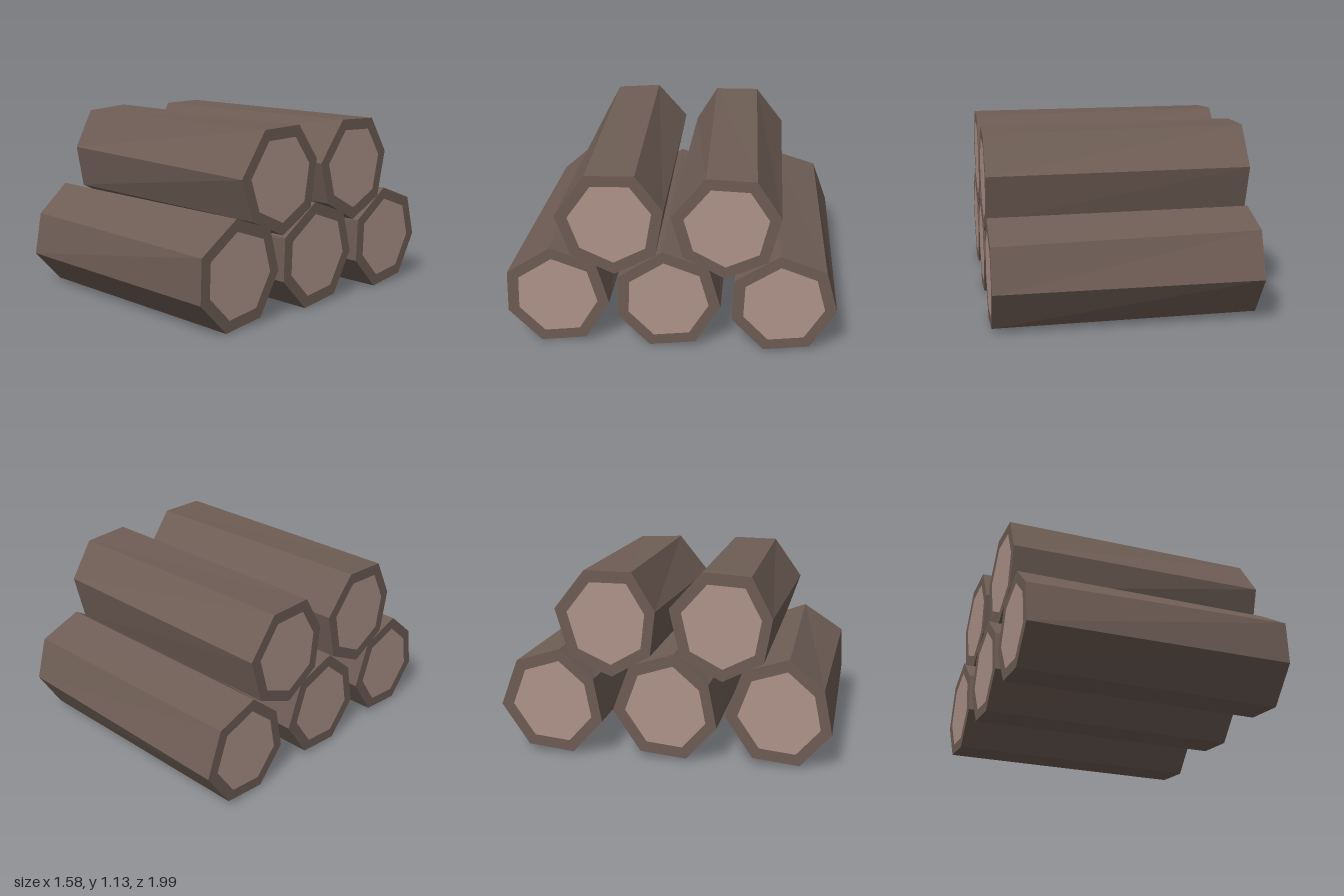
import * as THREE from 'three';

// Seven-sided log cross-sections as [z, y] around the log's axis, at the +x and -x ends
const NEAR = [[0.03, 0.325], [0.295, 0.15], [0.305, -0.113], [0.11, -0.314], [-0.165, -0.28], [-0.315, -0.03], [-0.242, 0.227]];
const FAR = [[0.04, 0.33], [0.24, 0.155], [0.29, -0.105], [0.11, -0.304], [-0.165, -0.272], [-0.33, -0.027], [-0.228, 0.247]];
const HALF = 0.79;
const CORE = 0.775; // size of the cut wood face relative to the bark

const ring = (section, x, scale) => section.map(([z, y]) => [x, y * scale, z * scale]);

// Flat-shaded geometry from a list of quads and triangles
function facesToGeometry(faces) {
  const positions = [];
  for (const f of faces) {
    for (let i = 1; i < f.length - 1; i++) positions.push(...f[0], ...f[i], ...f[i + 1]);
  }
  const geometry = new THREE.BufferGeometry();
  geometry.setAttribute('position', new THREE.Float32BufferAttribute(positions, 3));
  geometry.computeVertexNormals();
  return geometry;
}

function createModel() {
  const model = new THREE.Group();
  model.name = 'logPile';
  const barkMaterial = new THREE.MeshStandardMaterial({ color: 0x6e5d55, flatShading: true });
  const woodMaterial = new THREE.MeshStandardMaterial({ color: 0xaf948a, flatShading: true });

  const near = ring(NEAR, HALF, 1);
  const far = ring(FAR, -HALF, 1);
  const nearCore = ring(NEAR, HALF, CORE);
  const farCore = ring(FAR, -HALF, CORE);

  // Bark: sides plus the rim around each cut end
  const barkFaces = [];
  for (let i = 0; i < near.length; i++) {
    const j = (i + 1) % near.length;
    barkFaces.push([near[i], far[i], far[j], near[j]]);
    barkFaces.push([nearCore[i], near[i], near[j], nearCore[j]]);
    barkFaces.push([farCore[j], far[j], far[i], farCore[i]]);
  }
  const barkGeometry = facesToGeometry(barkFaces);

  // Pale cut wood at both ends
  const woodGeometry = facesToGeometry([nearCore, [...farCore].reverse()]);

  // Three logs below, two turned logs resting on them: [name, y, z, turn]
  const logs = [
    ['bottomFrontLog', 0.316, 0.69, 0],
    ['bottomMiddleLog', 0.316, 0.023, 0],
    ['bottomBackLog', 0.316, -0.665, 0],
    ['topFrontLog', 0.818, 0.35, 0.37],
    ['topBackLog', 0.815, -0.324, 0.31],
  ];
  for (const [name, y, z, turn] of logs) {
    const log = new THREE.Group();
    log.name = name;
    const bark = new THREE.Mesh(barkGeometry, barkMaterial);
    bark.name = 'bark';
    const wood = new THREE.Mesh(woodGeometry, woodMaterial);
    wood.name = 'cutEnds';
    log.add(bark, wood);
    log.position.set(0, y, z);
    log.rotation.x = turn;
    model.add(log);
  }
  return model;
}

export { createModel };
